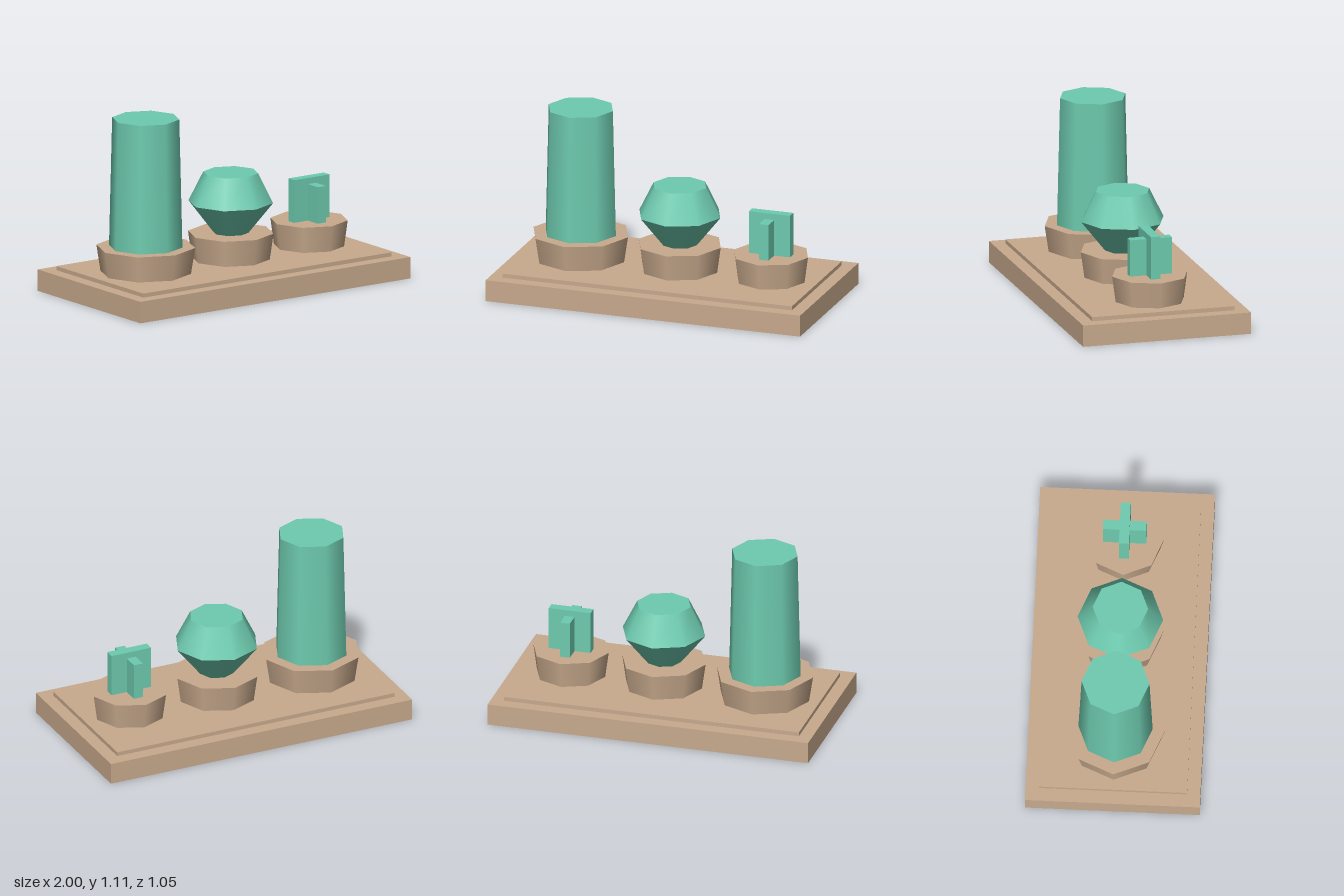
import * as THREE from 'three';

const tan = new THREE.MeshStandardMaterial({ color: 0xc8aa8d });
tan.name = 'tan';
const green = new THREE.MeshStandardMaterial({ color: 0x6ecbaf });
green.name = 'green';

const POT_BOTTOM = 0.157;
const POT_TOP = 0.317;

export function createModel() {
  const model = new THREE.Group();
  model.name = 'planterTray';

  const add = (name, geometry, material, x, y0, y1) => {
    const mesh = new THREE.Mesh(geometry, material);
    mesh.name = name;
    mesh.position.set(x, (y0 + y1) / 2, 0);
    model.add(mesh);
  };
  const box = (name, material, x, width, depth, y0, y1) =>
    add(name, new THREE.BoxGeometry(width, y1 - y0, depth), material, x, y0, y1);
  // Smooth-sided octagonal frustum
  const frustum = (name, material, x, rBottom, rTop, y0, y1, open = false) =>
    add(name, new THREE.CylinderGeometry(rTop, rBottom, y1 - y0, 8, 1, open), material, x, y0, y1);

  // Stepped tray
  box('trayBase', tan, 0, 2, 1.05, 0, 0.132);
  box('trayStep', tan, 0, 1.84, 0.89, 0.132, POT_BOTTOM);

  // Three flared pots
  const pots = [
    ['tallPlantPot', -0.58, 0.275, 0.3],
    ['roundPlantPot', 0.05, 0.237, 0.26],
    ['crossPlantPot', 0.63, 0.213, 0.235],
  ];
  for (const [name, x, rBottom, rTop] of pots) {
    frustum(name, tan, x, rBottom, rTop, POT_BOTTOM, POT_TOP);
  }

  // Tall column plant
  frustum('tallPlant', green, -0.58, 0.223, 0.204, POT_TOP, 1.105);

  // Faceted bulb plant, with a sharp edge around its waist
  frustum('bulbLower', green, 0.05, 0.108, 0.257, POT_TOP, 0.504, true);
  frustum('bulbUpper', green, 0.05, 0.257, 0.167, 0.504, 0.685);

  // Crossed-slab plant
  box('crossWideSlab', green, 0.63, 0.262, 0.06, POT_TOP, 0.58);
  box('crossDeepSlab', green, 0.63, 0.06, 0.262, POT_TOP, 0.542);

  return model;
}
